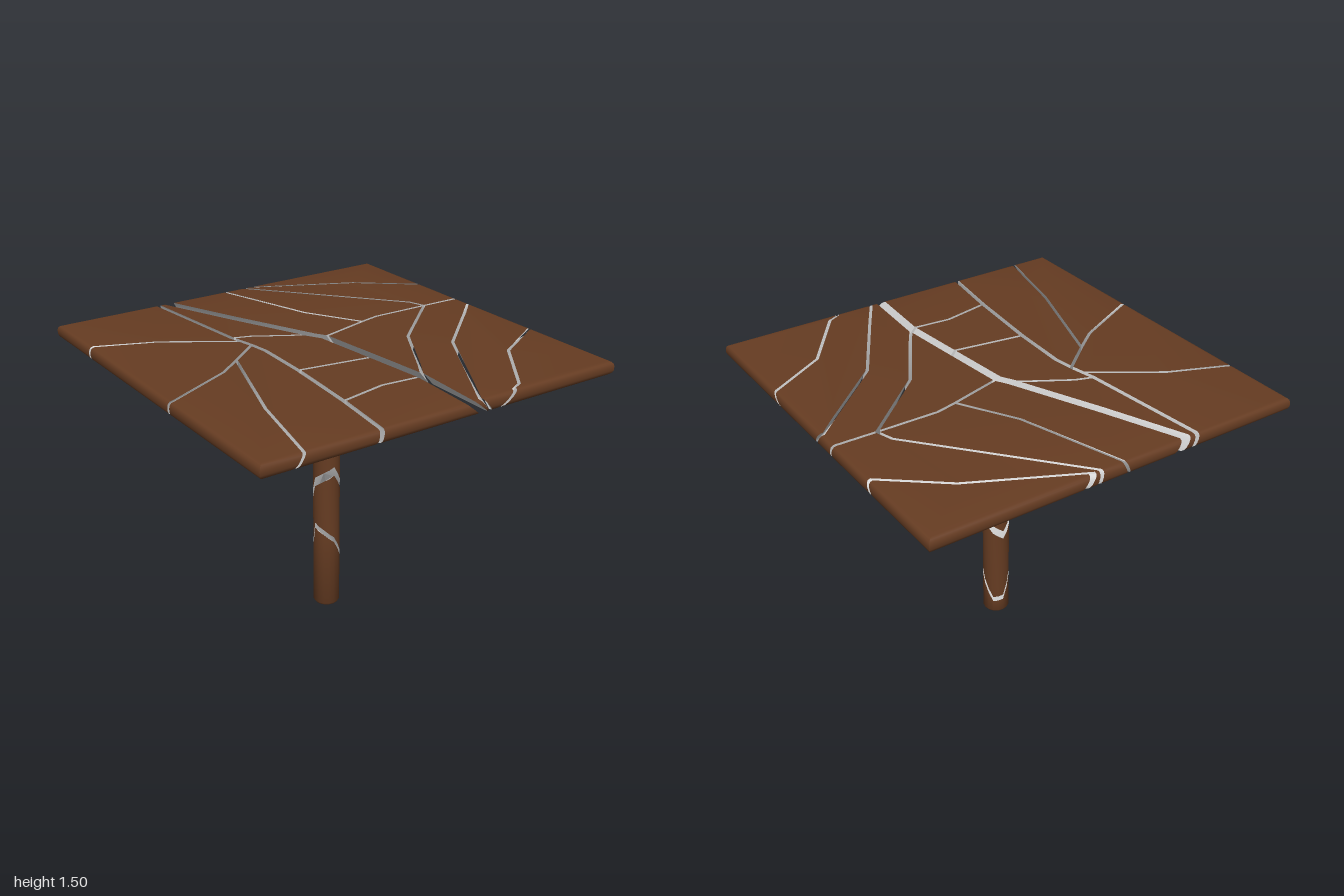
import * as THREE from 'three';
import { toCreasedNormals } from 'three/addons/utils/BufferGeometryUtils.js';

const wood = new THREE.MeshStandardMaterial({ color: 0x663c22 });
const inner = new THREE.MeshStandardMaterial({ color: 0xcccccc });

// Crack junctions on the table top: x, z, then the drift of the crack towards the underside.
const V = {
  // outer corners
  BL: [-1, -1], BR: [1, -1], FR: [1, 1], FL: [-1, 1],
  // long crack left of the middle
  A0: [-.42, -1, .03], A1: [-.35, -.32, .02], A2: [-.335, -.25, .02], A3: [-.32, -.18, .02],
  A4: [-.305, -.07, .01], A5: [-.315, .235], A6: [-.35, .655], A7: [-.39, 1, -.015],
  // widest crack
  W0: [-.355, -1, .05], W1: [-.19, -.58, .05], W2: [.01, -.13, .04], W3: [.045, -.07, .05],
  W4: [.085, .295, .06], W5: [.12, .625, .07], W6: [.1, 1, .09],
  // left side cracks
  L1: [-1, -.6], L2: [-.68, -.48],
  M1: [-1, .23], M2: [-.62, .06], M3: [-.49, -.04],
  N1: [-.68, .53, -.03], N2: [-.78, 1, -.05],
  // short cracks between the two long ones
  B1: [-.26, -.29], B2: [-.1, .605],
  // crack running to the right edge
  R1: [.34, -.15], R2: [.45, -.175], R3: [.77, -.17], R4: [1, -.165, 0, .01],
  // back right cracks
  P0: [0, -1, -.03], P1: [.17, -.44, -.03],
  Q0: [.125, -1, .02], Q1: [.74, -.26, .03],
  S0: [.17, -1, .05], S1: [.69, -.72, .02, -.03], S2: [1, -.49, 0, -.04],
  // front right cracks
  T0: [.4, .16, .03, .02], T1: [.2, .5, .04, .02],
  X0: [1, -.05, 0, .05], X1: [.88, .04, .02, .03], X2: [.53, .355, .03, .02],
  X3: [.27, .8, .05, .01], X4: [.165, 1, .065],
  Y0: [1, .43, 0, -.08], Y1: [.68, .6, -.05, -.06], Y2: [.43, .945, -.08, -.02], Y3: [.37, 1, -.1]
};

const fragments = [
  'BL A0 A1 A2 L2 L1', 'L1 L2 A2 A3 M3 M2 M1', 'M1 M2 M3 N1 N2 FL',
  'M3 A3 A4 A5 A6 A7 N2 N1', 'A0 W0 W1 W2 B1 A1', 'A1 B1 W2 W3 W4 A5 A4 A3 A2',
  'A5 W4 W5 B2 A6', 'A6 B2 W5 W6 A7', 'W0 P0 P1 R1 W3 W2 W1',
  'P0 Q0 Q1 R3 R2 R1 P1', 'Q0 S0 S1 S2 R4 R3 Q1', 'S0 BR S2 S1',
  'W3 R1 R2 R3 T0 T1 W5 W4', 'R3 R4 X0 X1 X2 X3 X4 W6 W5 T1 T0',
  'X0 Y0 Y1 Y2 Y3 X4 X3 X2 X1', 'Y0 FR Y3 Y2 Y1'
].map(s => s.split(' '));

// Skin equal rings, listed top to bottom and counter-clockwise from above.
function loft(name, rings, isOuter, topMat, bottomMat) {
  const soup = new Map([[wood, []], [inner, []]]);
  const tri = (mat, ...pts) => pts.forEach(p => soup.get(mat).push(p.x, p.y, p.z));
  const n = rings[0].length;
  for (let r = 0; r < rings.length - 1; r++) {
    for (let i = 0; i < n; i++) {
      const j = (i + 1) % n, mat = isOuter(i) ? wood : inner;
      const [a, b, c, d] = [rings[r][i], rings[r + 1][i], rings[r + 1][j], rings[r][j]];
      tri(mat, a, b, c);
      tri(mat, a, c, d);
    }
  }
  const cap = (ring, mat, flip) => {
    const flat = ring.map(p => new THREE.Vector2(p.x, -p.z));
    for (const [a, b, c] of THREE.ShapeUtils.triangulateShape(flat, [])) {
      if (flip) tri(mat, ring[a], ring[c], ring[b]);
      else tri(mat, ring[a], ring[b], ring[c]);
    }
  };
  cap(rings[0], topMat, false);
  cap(rings[rings.length - 1], bottomMat, true);

  const group = new THREE.Group();
  group.name = name;
  for (const [mat, list] of soup) {
    if (!list.length) continue;
    const geo = new THREE.BufferGeometry();
    geo.setAttribute('position', new THREE.Float32BufferAttribute(list, 3));
    const mesh = new THREE.Mesh(toCreasedNormals(geo, 0.7), mat);
    mesh.name = name + (mat === wood ? 'Surface' : 'BrokenFaces');
    group.add(mesh);
  }
  return group;
}

// Half the gap along an edge; none on the table's rim.
const onRim = (a, b) => [0, 1].some(k => Math.abs(V[a][k]) === 1 && V[a][k] === V[b][k]);
function halfGap(a, b) {
  if (onRim(a, b)) return 0;
  if (a[0] === 'W' && b[0] === 'W') return .025;
  return a[0] === 'A' && b[0] === 'A' ? .012 : .008;
}

// Pull every edge of a polygon inwards by its half gap.
function inset(pts, gaps) {
  const n = pts.length;
  const normal = i => {
    const e = pts[(i + 1) % n].clone().sub(pts[i]).normalize();
    return new THREE.Vector2(-e.y, e.x);
  };
  return pts.map((p, i) => {
    const h = (i + n - 1) % n, n1 = normal(h), n2 = normal(i);
    const d1 = gaps[h], d2 = gaps[i], det = n1.x * n2.y - n1.y * n2.x;
    if (Math.abs(det) < .15) return p.clone().addScaledVector(n1, (d1 + d2) / 2);
    return new THREE.Vector2(
      p.x + (d1 * n2.y - d2 * n1.y) / det, p.y + (d2 * n1.x - d1 * n2.x) / det);
  });
}

// Rounded rim: height and distance in from the widest outline.
const rim = [[1.505, .025], [1.502, .012], [1.494, .004], [1.48, 0], [1.46, 0],
  [1.447, .005], [1.437, .017], [1.431, .04]];

function tableFragment(names) {
  const shape = k => names.map(m => {
    const [x, z, dx = 0, dz = 0] = V[m];
    return new THREE.Vector2(x + dx * k, -z - dz * k);
  });
  if (THREE.ShapeUtils.isClockWise(shape(0))) names = [...names].reverse();
  const next = i => names[(i + 1) % names.length];
  const gaps = names.map((m, i) => halfGap(m, next(i)));
  const top = inset(shape(0), gaps), bottom = inset(shape(1), gaps);
  const rings = rim.map(([y, d]) => top.map((p, i) => {
    const q = p.clone().lerp(bottom[i], (1.505 - y) / .075);
    const c = v => THREE.MathUtils.clamp(v, d - 1, 1 - d);
    return new THREE.Vector3(c(q.x), y, -c(q.y));
  }));
  return loft('tableTopFragment', rings, i => onRim(names[i], next(i)), wood, wood);
}

// Break heights round the post, from the front by way of +x, in eighths of a turn.
const upperBreak = [.82, .73, .64, .57, .53, .6, .75, .79];
const lowerBreak = [.41, .31, .2, .09, .1, .25, .49, .46];
const SIDES = 16;
function postRing(radius, height, shift = 0) {
  return Array.from({ length: SIDES }, (_, i) => {
    const a = i / SIDES * Math.PI * 2, k = i * 8 / SIDES, f = Math.floor(k);
    const y = Array.isArray(height)
      ? THREE.MathUtils.lerp(height[f], height[(f + 1) % 8], k - f) + shift : height;
    return new THREE.Vector3(Math.sin(a) * radius, y, .013 + Math.cos(a) * radius);
  });
}

export function createModel() {
  const model = new THREE.Group();
  model.name = 'brokenTable';

  const tableTop = new THREE.Group();
  tableTop.name = 'tableTop';
  fragments.forEach(f => tableTop.add(tableFragment(f)));

  const post = new THREE.Group();
  post.name = 'post';
  const R = .072, outer = () => true;
  post.add(
    loft('upperPost', [postRing(.1, 1.432), postRing(.085, 1.415), postRing(.075, 1.395),
      postRing(R, 1.37), postRing(R, upperBreak, .025)], outer, wood, inner),
    loft('middlePost', [postRing(R, upperBreak, -.025), postRing(R, lowerBreak, .015)],
      outer, inner, inner),
    loft('lowerPost', [postRing(R, lowerBreak, -.015), postRing(R, .012), postRing(.064, 0)],
      outer, inner, wood));

  model.add(tableTop, post);
  return model;
}
